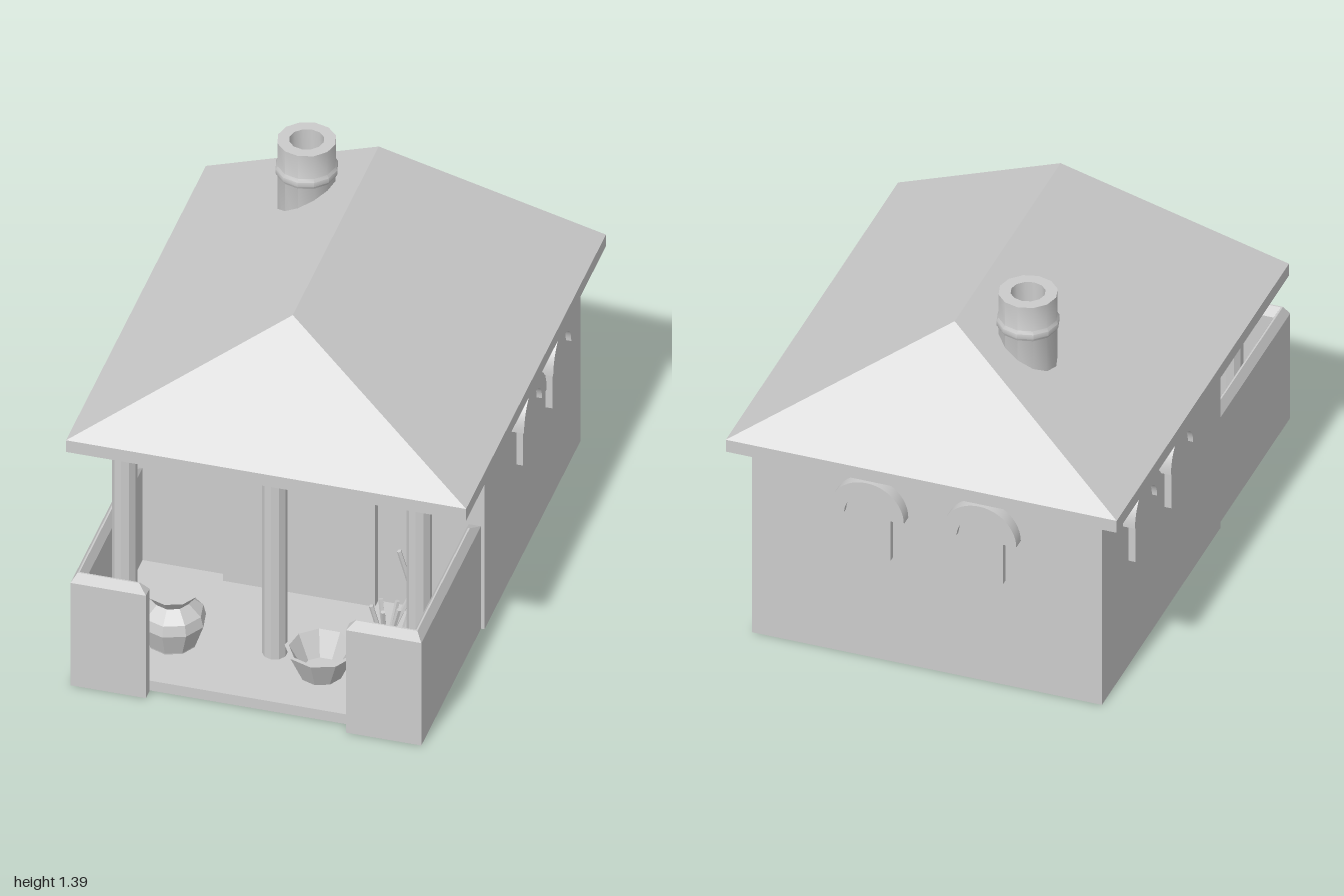
import * as THREE from 'three';
import { toCreasedNormals } from 'three/addons/utils/BufferGeometryUtils.js';

const smooth = new THREE.MeshStandardMaterial({ color: 0xcccccc });
const flat = new THREE.MeshStandardMaterial({ color: 0xcccccc, flatShading: true });

function add(parent, name, geometry, x = 0, y = 0, z = 0, material = flat) {
  const mesh = new THREE.Mesh(geometry, material);
  mesh.name = name;
  mesh.position.set(x, y, z);
  parent.add(mesh);
  return mesh;
}

// Box given by its limits
function block(parent, name, x0, x1, y0, y1, z0, z1) {
  return add(parent, name, new THREE.BoxGeometry(x1 - x0, y1 - y0, z1 - z0),
    (x0 + x1) / 2, (y0 + y1) / 2, (z0 + z1) / 2);
}

// Solid through horizontal [x, z] outlines, counter-clockwise seen from above
function loft(levels) {
  const pos = [];
  const put = (level, i) => pos.push(level.pts[i][0], level.y, level.pts[i][1]);
  for (let k = 0; k < levels.length - 1; k++) {
    const lo = levels[k], hi = levels[k + 1], n = lo.pts.length;
    for (let i = 0; i < n; i++) {
      const j = (i + 1) % n;
      put(lo, i); put(lo, j); put(hi, j);
      put(lo, i); put(hi, j); put(hi, i);
    }
  }
  const cap = (level, order) => {
    const contour = level.pts.map(([x, z]) => new THREE.Vector2(x, -z));
    for (const t of THREE.ShapeUtils.triangulateShape(contour, [])) order.forEach((o) => put(level, t[o]));
  };
  cap(levels[0], [2, 1, 0]);
  const top = levels[levels.length - 1];
  if (!top.ridge) cap(top, [0, 1, 2]);
  const g = new THREE.BufferGeometry();
  g.setAttribute('position', new THREE.Float32BufferAttribute(pos, 3));
  g.computeVertexNormals();
  return g;
}

function lathe(profile, sides) {
  return new THREE.LatheGeometry(profile.map(([r, y]) => new THREE.Vector2(r, y)), sides);
}

// Window panel with an arched hood, facing +z with its back at z = 0
function makeWindow() {
  const g = new THREE.Group();
  g.name = 'window';
  const r = 0.083;
  const pane = new THREE.Shape();
  pane.moveTo(-r, -0.18);
  pane.lineTo(r, -0.18);
  pane.lineTo(r, 0);
  pane.absarc(0, 0, r, 0, Math.PI, false);
  pane.closePath();
  add(g, 'windowPanel', new THREE.ExtrudeGeometry(pane, { depth: 0.025, bevelEnabled: false, curveSegments: 10 }));
  const arch = new THREE.Shape();
  arch.absarc(0, 0, 0.14, 0, Math.PI, false);
  arch.absarc(0, 0, r, Math.PI, 0, true);
  arch.closePath();
  const hood = new THREE.ExtrudeGeometry(arch, { depth: 0.045, bevelEnabled: false, curveSegments: 12 });
  add(g, 'windowHood', toCreasedNormals(hood, 0.5), 0, 0, 0, smooth);
  return g;
}

// Thin stick between two points
function stick(parent, a, b) {
  const from = new THREE.Vector3(...a), dir = new THREE.Vector3(...b).sub(from);
  const m = add(parent, 'stick', new THREE.CylinderGeometry(0.009, 0.009, dir.length(), 5));
  m.position.copy(from).addScaledVector(dir, 0.5);
  m.quaternion.setFromUnitVectors(new THREE.Vector3(0, 1, 0), dir.normalize());
}

export function createModel() {
  const model = new THREE.Group();
  model.name = 'house';

  // Main building, door and porch floor
  const house = new THREE.Group();
  house.name = 'building';
  house.position.x = 0.008;
  model.add(house);
  block(house, 'mainWalls', -0.653, 0.653, 0, 0.8, -0.92, 0.265);
  block(house, 'door', -0.29, 0.265, 0.02, 0.78, 0.25, 0.305);
  block(house, 'porchFloor', -0.61, 0.61, 0.003, 0.045, 0.255, 0.955);

  // Windows: two on each side and two at the back
  const place = (x, z, turn) => {
    const w = makeWindow();
    w.position.set(x, 0.62, z);
    w.rotation.y = turn;
    house.add(w);
  };
  for (const z of [-0.21, -0.57]) {
    place(0.653, z, Math.PI / 2);
    place(-0.653, z, -Math.PI / 2);
  }
  for (const x of [-0.21, 0.21]) place(x, -0.92, Math.PI);

  // L-shaped porch walls with a bevelled coping
  const outer = [[0.64, 1], [0.64, 0.265], [0.595, 0.265], [0.595, 0.955], [0.365, 0.955], [0.365, 1]];
  const crest = [[0.62, 0.981], [0.62, 0.335], [0.614, 0.335], [0.614, 0.975], [0.395, 0.975], [0.395, 0.981]];
  for (const s of [1, -1]) {
    const side = (pts) => (s > 0 ? pts : pts.map(([x, z]) => [-x, z]).reverse());
    add(house, 'porchWall', loft([
      { y: 0, pts: side(outer) }, { y: 0.44, pts: side(outer) }, { y: 0.475, pts: side(crest) },
    ]));
  }

  // Hipped roof
  const eave = [[-0.73, 0.725], [0.73, 0.725], [0.73, -1], [-0.73, -1]];
  const ridge = [[0, 0.395], [0, 0.395], [0, -0.665], [0, -0.665]];
  add(model, 'roof', loft([
    { y: 0.795, pts: eave }, { y: 0.845, pts: eave }, { y: 1.305, pts: ridge, ridge: true },
  ]));

  // Chimney pipe with a collar
  const pipe = lathe([[0.105, 1], [0.105, 1.25], [0.112, 1.262], [0.112, 1.28], [0.105, 1.292],
    [0.105, 1.39], [0.062, 1.39], [0.062, 1.1], [0, 1.1]], 12);
  add(model, 'chimney', toCreasedNormals(pipe, 0.55), -0.22, 0, -0.52, smooth);

  // Porch posts
  for (const x of [-0.533, 0.015, 0.542]) {
    add(model, 'porchPost', new THREE.CylinderGeometry(0.045, 0.045, 0.8, 10), x, 0.4, 0.667);
  }

  // Jar and bowl
  add(model, 'jar', lathe([[0, 0.02], [0.085, 0.02], [0.09, 0.05], [0.122, 0.14], [0.112, 0.18], [0.065, 0.222],
    [0.095, 0.262], [0, 0.262]], 9), -0.35, 0, 0.7);
  add(model, 'bowl', lathe([[0, 0.03], [0.075, 0.04], [0.128, 0.155], [0.113, 0.155], [0.065, 0.065], [0, 0.065]], 9),
    0.205, 0, 0.74);

  // Two clusters of sticks leaning behind the wall
  for (const z of [0.765, 0.42]) {
    const bundle = new THREE.Group();
    bundle.name = 'stickBundle';
    bundle.position.set(0.45, 0, z);
    model.add(bundle);
    for (const [dx, dz] of [[0.05, 0.01], [-0.05, 0.015], [0.03, -0.04], [-0.03, -0.035], [0, 0.04]]) {
      stick(bundle, [-dx * 0.8, 0.045, -dz * 0.8], [dx, 0.4, dz]);
    }
  }
  // Rail across the stick bundles
  stick(model, [0.45, 0.24, 0.81], [0.45, 0.24, 0.37]);

  return model;
}
